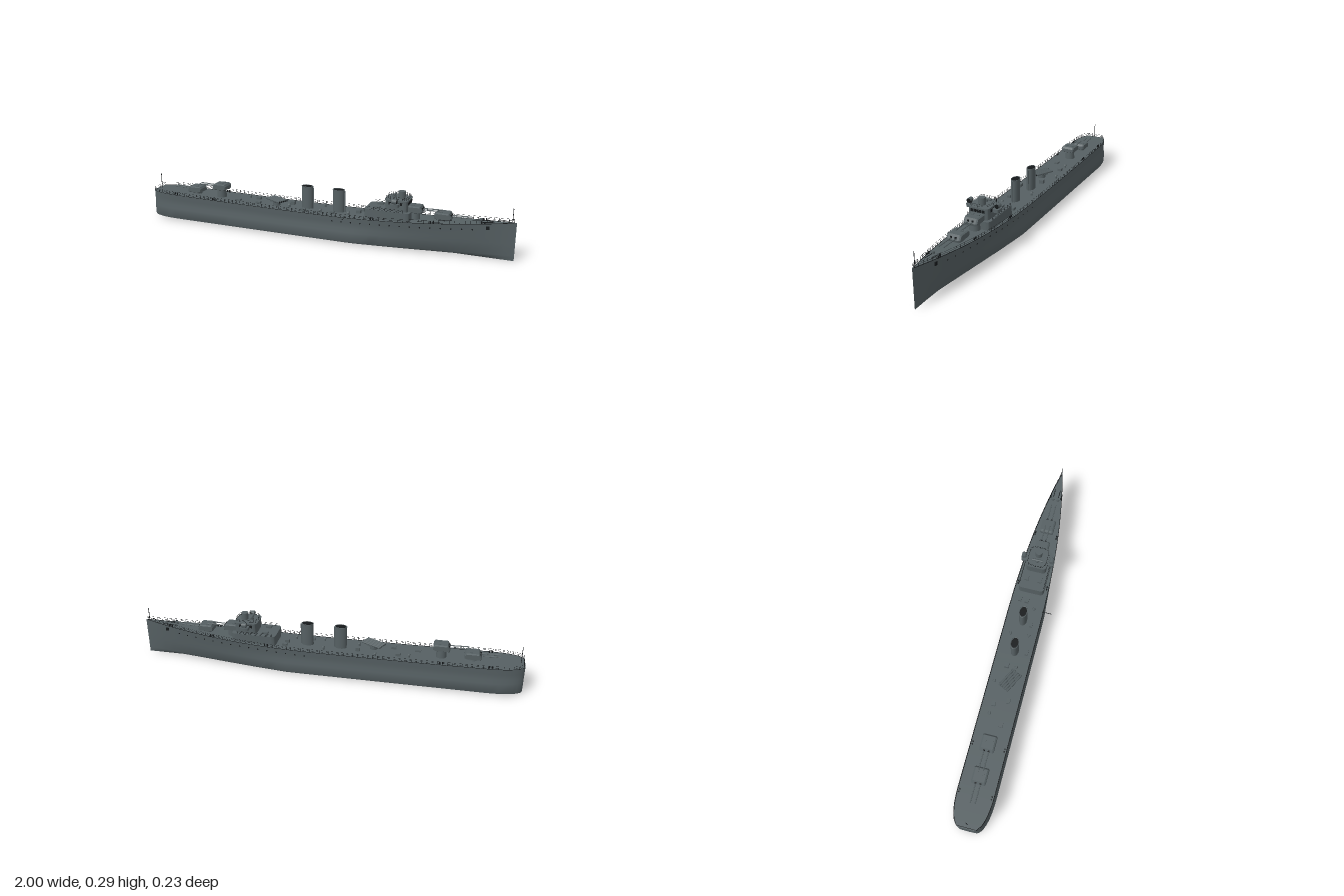
import * as THREE from 'three';
import { mergeGeometries, toCreasedNormals } from 'three/addons/utils/BufferGeometryUtils.js';

const grey = new THREE.MeshStandardMaterial({ color: 0x566063 });
grey.name = 'ship grey';
const dark = new THREE.MeshStandardMaterial({ color: 0x15181a });
dark.name = 'fittings black';

const V = (x, y, z) => new THREE.Vector3(x, y, z);
const lerp = THREE.MathUtils.lerp;

// Hull rules: deck sheer, half breadth, and section rows [height fraction, midship width, bow width]
const deckY = x => 0.14 + (x > 0 ? 0.054 : 0.01) * x * x;
function beam(x) {
  if (x > 0.1) return Math.max(0.0005, 0.096 * (1 - Math.pow((x - 0.1) / 0.9, 2.2)));
  if (x < -0.8) return 0.038 + 0.058 * Math.sqrt(Math.max(0, 1 - Math.pow((-0.8 - x) / 0.2, 2.5)));
  return 0.096;
}
const rows = [[0, 0, 0], [0.07, 0.95, 0.4], [0.13, 1, 0.55], [0.46, 1, 0.74], [0.6, 0.945, 0.82], [0.8, 0.95, 0.9], [1, 0.965, 1]];
const rowWidth = (x, r) => beam(x) * lerp(r[1], r[2], THREE.MathUtils.clamp((x - 0.2) / 0.7, 0, 1));
function widthAt(x, y) {
  const f = Math.min(1, y / deckY(x));
  const k = Math.max(1, rows.findIndex(r => r[0] >= f));
  const a = rows[k - 1], b = rows[k];
  return lerp(rowWidth(x, a), rowWidth(x, b), (f - a[0]) / (b[0] - a[0]));
}

function hullGeometry() {
  const xs = [-1, -0.998, -0.993, -0.985, -0.97, -0.95, -0.92, -0.88, -0.84, -0.8];
  for (let x = -0.7; x < 0.999; x += 0.05) xs.push(x);
  xs.push(1);
  const pos = [], idx = [];
  const top = rows.length - 1, n = rows.length * 2 - 1;
  xs.forEach(x => {
    for (let j = 0; j < n; j++) {
      const r = rows[Math.abs(top - j)];
      pos.push(x, r[0] * deckY(x), Math.sign(top - j) * rowWidth(x, r));
    }
  });
  for (let i = 0; i < xs.length - 1; i++) {
    const a = i * n, b = a + n;
    for (let j = 0; j < n - 1; j++) idx.push(a + j, a + j + 1, b + j, a + j + 1, b + j + 1, b + j);
    idx.push(a, b, a + n - 1, b, b + n - 1, a + n - 1); // deck strip
  }
  for (let j = 1; j < n - 1; j++) idx.push(0, j + 1, j); // transom
  const g = new THREE.BufferGeometry();
  g.setAttribute('position', new THREE.Float32BufferAttribute(pos, 3));
  g.setIndex(idx);
  return toCreasedNormals(g, 0.6);
}

// Helpers
function add(parent, name, geo, mat, x = 0, y = 0, z = 0) {
  const m = new THREE.Mesh(geo, mat);
  m.name = name;
  m.position.set(x, y, z);
  parent.add(m);
  return m;
}
const box = (w, h, d) => new THREE.BoxGeometry(w, h, d);
const cyl = (r, h, r2 = r, n = 20) => new THREE.CylinderGeometry(r2, r, h, n);
function rod(a, b, r, n = 4) {
  const d = b.clone().sub(a);
  const g = cyl(r, d.length(), r, n);
  g.applyQuaternion(new THREE.Quaternion().setFromUnitVectors(V(0, 1, 0), d.normalize()));
  return g.translate((a.x + b.x) / 2, (a.y + b.y) / 2, (a.z + b.z) / 2);
}
function rail(parent, name, pts, h, baseRadius = 0.0006) {
  const geos = [], up = (p, t) => V(p.x, p.y + h * t, p.z);
  pts.forEach((p, i) => {
    geos.push(rod(p, up(p, 1), 0.0008));
    if (i) [0, 0.5, 1].forEach(t => geos.push(rod(up(pts[i - 1], t), up(p, t), t ? 0.0005 : baseRadius)));
  });
  add(parent, name, mergeGeometries(geos), dark);
}
// Block with rounded corners in plan, base at y = 0
function house(l, w, h, r) {
  const s = new THREE.Shape(), a = l / 2, b = w / 2;
  s.moveTo(-a + r, -b).lineTo(a - r, -b).quadraticCurveTo(a, -b, a, -b + r).lineTo(a, b - r);
  s.quadraticCurveTo(a, b, a - r, b).lineTo(-a + r, b).quadraticCurveTo(-a, b, -a, b - r);
  s.lineTo(-a, -b + r).quadraticCurveTo(-a, -b, -a + r, -b);
  const g = new THREE.ExtrudeGeometry(s, { depth: h, bevelEnabled: false, curveSegments: 6 });
  return toCreasedNormals(g.rotateX(-Math.PI / 2), 0.6);
}

// Twin gun mount with a sloped shield; dir is +1 facing the bow
function gun(parent, name, x, y, baseY, dir) {
  const g = new THREE.Group();
  g.name = name;
  g.position.set(x, y, 0);
  if (dir < 0) g.rotation.y = Math.PI;
  add(g, 'pedestal', cyl(0.027, y - baseY, 0.024), grey, 0, (baseY - y) / 2, 0);
  const s = new THREE.Shape();
  s.moveTo(-0.042, 0.006).lineTo(-0.03, 0).lineTo(0.04, 0).lineTo(0.043, 0.012);
  s.lineTo(0.03, 0.034).lineTo(-0.034, 0.034).lineTo(-0.042, 0.024);
  add(g, 'shield', new THREE.ExtrudeGeometry(s, {
    depth: 0.058, bevelThickness: 0.007, bevelSize: 0.004, bevelOffset: -0.004, bevelSegments: 1
  }), grey, 0, 0, -0.029);
  [-1, 1].forEach(k => {
    add(g, 'barrel', rod(V(0.03, 0.017, k * 0.012), V(0.135, 0.02, k * 0.012), 0.0028, 8), grey);
    add(g, 'gunPort', box(0.006, 0.014, 0.009), dark, 0.038, 0.018, k * 0.012);
    add(g, 'roofHatch', box(0.014, 0.004, 0.012), grey, -0.01, 0.035, k * 0.016);
  });
  parent.add(g);
}

export function createModel() {
  const model = new THREE.Group();
  model.name = 'warship';
  const ship = new THREE.Group();
  ship.name = 'ship';
  ship.position.z = -0.019;
  model.add(ship);
  add(ship, 'hull', hullGeometry(), grey);

  // Deck-edge railings, portholes and anchors on both sides
  const holes = [];
  [-1, 1].forEach(k => {
    const pts = [];
    for (let i = 0; i <= 80; i++) {
      const x = -0.995 + i * 0.0248;
      pts.push(V(x, deckY(x), k * widthAt(x, deckY(x)) * 0.985));
    }
    rail(ship, 'deckRail', pts, 0.017, 0.0016);
    for (let x = 0.1; x < 0.82; x += 0.05) {
      const y = 0.117 + 0.045 * Math.pow(Math.max(0, x - 0.1), 1.2);
      holes.push(cyl(0.0035, 0.004, 0.0035, 10).rotateX(Math.PI / 2).translate(x, y, k * widthAt(x, y)));
    }
    add(ship, 'anchor', box(0.016, 0.017, 0.007), dark, 0.87, 0.16, k * widthAt(0.87, 0.16));
    add(ship, 'anchorWinch', cyl(0.008, 0.014), grey, 0.83, deckY(0.83) + 0.006, k * 0.014);
    add(ship, 'anchorChain', rod(V(0.83, deckY(0.83) + 0.003, k * 0.014), V(0.89, deckY(0.89) + 0.002, k * 0.014), 0.0018), dark);
    // Mooring bollards
    [-0.84, -0.6, 0.3, 0.6, 0.84].forEach(x => [0, 0.014].forEach(d =>
      add(ship, 'bollard', cyl(0.0035, 0.012, 0.0035, 8), dark, x + d, deckY(x) + 0.005, k * (beam(x) * 0.85))));
  });
  add(ship, 'portholes', mergeGeometries(holes), dark);
  const ends = [];
  for (let i = 0; i <= 4; i++) ends.push(V(-0.995, deckY(-1), lerp(-0.043, 0.043, i / 4)));
  rail(ship, 'sternRail', ends, 0.017);
  add(ship, 'jackstaff', rod(V(0.98, 0.19, 0), V(0.98, 0.262, 0), 0.0016, 6), dark);
  add(ship, 'ensignStaff', rod(V(-0.98, 0.148, 0), V(-0.98, 0.237, 0), 0.0016, 6), dark);
  add(ship, 'boom', rod(V(0.17, 0.145, 0.085), V(0.17, 0.145, 0.136), 0.0015, 6), dark);

  // Main guns
  gun(ship, 'aftGun', -0.745, 0.155, 0.14, -1);
  gun(ship, 'aftRaisedGun', -0.588, 0.185, 0.138, -1);
  gun(ship, 'foreRaisedGun', 0.508, 0.19, 0.145, 1);
  gun(ship, 'foreGun', 0.652, 0.172, 0.155, 1);

  // Deckhouse and bridge
  add(ship, 'deckhouse', house(0.235, 0.138, 0.055, 0.022), grey, 0.378, 0.14, 0);
  add(ship, 'bridge', house(0.115, 0.108, 0.057, 0.02), grey, 0.422, 0.194, 0);
  add(ship, 'bridgeRoof', house(0.122, 0.112, 0.004, 0.022), grey, 0.422, 0.248, 0);
  for (let i = -2; i <= 2; i++) {
    add(ship, 'bridgeWindow', box(0.004, 0.014, 0.0125), dark, 0.479, 0.235, i * 0.0155);
    [-1, 1].forEach(k => add(ship, 'bridgeSideWindow', box(0.0115, 0.014, 0.004), dark, 0.42 + i * 0.0145, 0.235, k * 0.0535));
  }
  const loop = [];
  for (let i = 0; i <= 20; i++) {
    const a = i / 20 * Math.PI * 2, c = Math.cos(a), s = Math.sin(a);
    loop.push(V(0.422 + 0.056 * Math.sign(c) * Math.sqrt(Math.abs(c)), 0.251, 0.05 * Math.sign(s) * Math.sqrt(Math.abs(s))));
  }
  rail(ship, 'bridgeRail', loop, 0.016);
  add(ship, 'director', cyl(0.018, 0.037), grey, 0.438, 0.27, 0);
  add(ship, 'rangefinder', rod(V(0.40, 0.266, -0.028), V(0.40, 0.266, 0.028), 0.006, 10), grey);
  add(ship, 'rangefinderStand', cyl(0.009, 0.014), grey, 0.40, 0.257, 0);
  [-1, 1].forEach(k => {
    add(ship, 'wing', house(0.045, 0.036, 0.016, 0.012), grey, 0.42, 0.224, k * 0.07);
    add(ship, 'lampStand', cyl(0.004, 0.014), dark, 0.42, 0.245, k * 0.075);
    add(ship, 'searchlight', cyl(0.0125, 0.024).rotateZ(Math.PI / 2), grey, 0.42, 0.252, k * 0.075);
    add(ship, 'searchlightLens', cyl(0.0105, 0.002).rotateZ(Math.PI / 2), dark, 0.433, 0.252, k * 0.075);
    add(ship, 'deckhouseLocker', box(0.03, 0.012, 0.02), grey, 0.32, 0.2, k * 0.035);
    const edge = [];
    for (let i = 0; i <= 6; i++) edge.push(V(0.28 + i * 0.03, 0.195, k * 0.066));
    rail(ship, 'deckhouseRail', edge, 0.013);
  });

  // Oval funnels with a rim and dark mouth
  [-0.073, 0.102].forEach(x => {
    const f = new THREE.Group();
    f.name = 'funnel';
    f.position.set(x, 0.138, 0);
    f.scale.z = 0.66;
    add(f, 'casing', cyl(0.031, 0.12, 0.031, 28), grey, 0, 0.06, 0);
    add(f, 'rim', new THREE.TorusGeometry(0.031, 0.002, 6, 28).rotateX(Math.PI / 2), grey, 0, 0.12, 0);
    add(f, 'mouth', cyl(0.027, 0.002, 0.027, 28), dark, 0, 0.1205, 0);
    add(f, 'steamPipe', cyl(0.004, 0.115, 0.004, 8), grey, 0.033, 0.0575, 0);
    ship.add(f);
  });

  // Trained torpedo mount
  const torpedo = new THREE.Group();
  torpedo.name = 'torpedoMount';
  torpedo.position.set(-0.243, 0.14, 0.019);
  torpedo.rotation.y = -0.47;
  add(torpedo, 'pedestal', cyl(0.02, 0.024), grey, 0, 0.012, 0);
  add(torpedo, 'cradle', box(0.04, 0.005, 0.06), grey, 0, 0.024, 0);
  for (let i = -2; i <= 2; i++) {
    add(torpedo, 'tube', rod(V(-0.055, 0.031, i * 0.0125), V(0.055, 0.031, i * 0.0125), 0.0056, 10), grey);
    add(torpedo, 'muzzle', rod(V(0.054, 0.031, i * 0.0125), V(0.0555, 0.031, i * 0.0125), 0.0045, 10), dark);
  }
  ship.add(torpedo);

  // Deck lockers and ventilators: x, z, length, width, height
  [[-0.375, -0.033, 0.024, 0.02, 0.016], [-0.345, 0.036, 0.026, 0.018, 0.014], [-0.165, -0.02, 0.022, 0.022, 0.02],
    [-0.072, 0.062, 0.028, 0.016, 0.016], [0.082, 0.046, 0.022, 0.016, 0.014], [0.215, -0.045, 0.026, 0.018, 0.016],
    [0.21, -0.007, 0.022, 0.02, 0.02], [-0.47, 0.03, 0.03, 0.02, 0.012]
  ].forEach(([x, z, l, w, h]) => add(ship, 'deckLocker', box(l, h, w), grey, x, 0.139 + h / 2, z));
  [[-0.26, -0.06], [-0.165, 0.03], [0.01, -0.045], [0.02, 0.05], [0.17, 0.04], [-0.43, -0.04]].forEach(([x, z]) => {
    add(ship, 'ventilator', cyl(0.005, 0.018, 0.005, 10), grey, x, 0.148, z);
    add(ship, 'ventilatorCap', cyl(0.009, 0.006, 0.006, 12), grey, x, 0.158, z);
  });
  return model;
}
